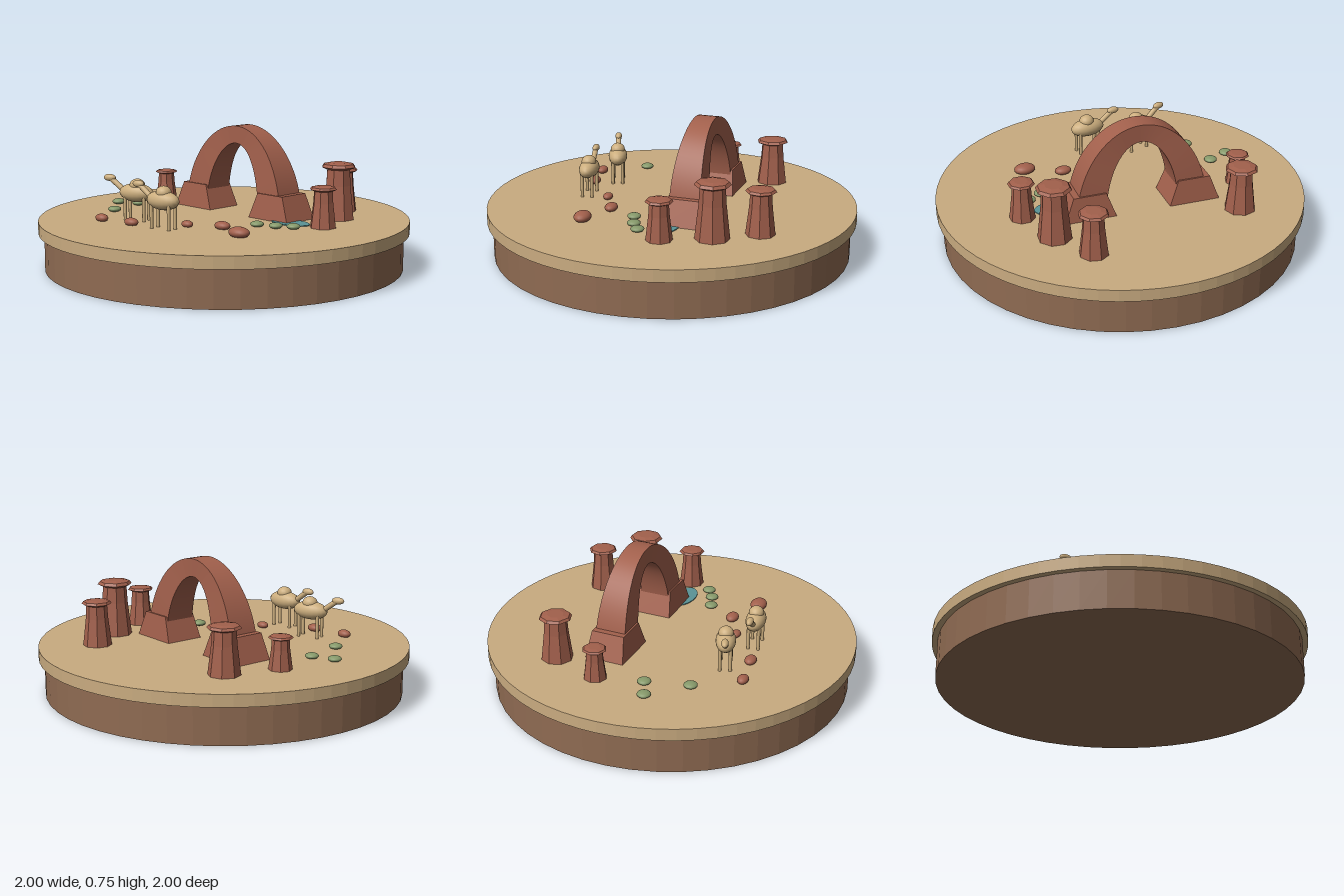
import * as THREE from 'three';

export function createModel() {
  const model = new THREE.Group();
  const mat = (name, color) => {
    const m = new THREE.MeshStandardMaterial({ color });
    m.name = name;
    return m;
  };
  const sand = mat('sand', 0xc9ab80);
  const earth = mat('earth', 0x8f6b52);
  const rock = mat('red rock', 0xa2604c);
  const water = mat('water', 0x5a9497);
  const leaf = mat('shrub green', 0x86996a);
  const fur = mat('camel tan', 0xccae7e);
  const GROUND = 0.265;

  const add = (parent, name, geo, material, x = 0, y = 0, z = 0) => {
    const mesh = new THREE.Mesh(geo, material);
    mesh.name = name;
    mesh.position.set(x, y, z);
    parent.add(mesh);
    return mesh;
  };
  const flat = (geo) => {
    const g = geo.toNonIndexed();
    g.computeVertexNormals();
    return g;
  };
  const ellipsoid = (rx, ry, rz) => new THREE.SphereGeometry(1, 20, 12).scale(rx, ry, rz);
  const reshape = (geo, rule) => {
    const p = geo.attributes.position;
    for (let i = 0; i < p.count; i++) p.setXYZ(i, ...rule(p.getX(i), p.getY(i), p.getZ(i)));
    geo.computeVertexNormals();
    return geo;
  };

  // Round plinth with a sand slab on top
  add(model, 'earthBase', flat(new THREE.CylinderGeometry(0.97, 0.97, 0.2, 48)), earth, 0, 0.1, 0);
  add(model, 'sandTop', flat(new THREE.CylinderGeometry(1, 1, 0.065, 64)), sand, 0, 0.2325, 0);

  // Natural arch: a box bent between an inner and an outer ellipse, slimmer at the crown
  const arch = new THREE.Group();
  arch.name = 'rockArch';
  arch.position.set(0.03, GROUND, -0.18);
  arch.rotation.y = -THREE.MathUtils.degToRad(20);
  model.add(arch);
  const span = reshape(new THREE.BoxGeometry(1, 1, 1, 40, 1, 1), (x, y, z) => {
    const a = Math.PI * (0.5 - x);
    const c = Math.cos(a);
    const t = y + 0.5;
    return [
      c * THREE.MathUtils.lerp(0.2, 0.36, t),
      Math.sin(a) * THREE.MathUtils.lerp(0.385, 0.48, t),
      z * 2 * (0.056 + 0.03 * c * c),
    ];
  });
  add(arch, 'archSpan', span, rock);

  // Tapered blocks under both ends of the arch
  for (const side of [-1, 1]) {
    const foot = reshape(new THREE.BoxGeometry(0.28, 0.135, 0.216), (x, y, z) =>
      y > 0 ? [x * 0.64, y, z * 0.85] : [x, y, z]);
    add(arch, 'archFoot', foot, rock, side * 0.29, 0.0675, 0);
  }

  // Pool beside the arch
  const pool = add(model, 'pool', new THREE.CylinderGeometry(1, 1, 0.005, 40).scale(0.12, 1, 0.07),
    water, 0.405, GROUND + 0.0025, 0.035);
  pool.rotation.y = -0.35;

  // Eight-sided pillars with flared caps: x, z, cap radius, height
  const profile = [[0, 0], [0.96, 0], [0.85, 0.3], [0.74, 0.6], [0.69, 0.88],
    [1, 0.925], [0.88, 0.975], [0.5, 1], [0, 1]];
  const pillars = [
    [-0.35, -0.575, 0.088, 0.255], [-0.54, -0.35, 0.064, 0.175], [0.525, -0.44, 0.08, 0.245],
    [0.585, -0.195, 0.094, 0.305], [0.6, 0.07, 0.072, 0.217],
  ];
  pillars.forEach(([x, z, r, h], i) => {
    const points = profile.map(([pr, py]) => new THREE.Vector2(pr * r, py * h));
    const pillar = add(model, 'rockPillar', flat(new THREE.LatheGeometry(points, 8)), rock, x, GROUND, z);
    pillar.rotation.y = Math.PI / 8 + i * 0.12;
  });

  // Loose boulders: x, z, length, height, width
  const boulders = [
    [-0.53, 0.4, 0.04, 0.022, 0.029], [-0.33, 0.435, 0.043, 0.022, 0.031],
    [-0.045, 0.35, 0.035, 0.019, 0.026], [0.145, 0.325, 0.047, 0.023, 0.034],
    [0.305, 0.468, 0.06, 0.029, 0.045],
  ];
  for (const [x, z, rx, ry, rz] of boulders) {
    add(model, 'boulder', ellipsoid(rx, ry, rz), rock, x, GROUND + ry * 0.7, z).rotation.y = -0.3;
  }

  // Low round shrubs
  const shrubs = [[-0.71, -0.085], [-0.585, -0.095], [-0.605, 0.14],
    [0.285, 0.2], [0.39, 0.2], [0.48, 0.18]];
  for (const [x, z] of shrubs) {
    add(model, 'shrub', ellipsoid(0.036, 0.016, 0.036), leaf, x, GROUND + 0.015, z);
  }

  // Camels, heading toward local -x
  const addCamel = (x, z, turn) => {
    const camel = new THREE.Group();
    camel.name = 'camel';
    camel.position.set(x, GROUND, z);
    camel.rotation.y = turn;
    model.add(camel);
    add(camel, 'body', ellipsoid(0.1, 0.05, 0.053), fur, 0, 0.148, 0);
    add(camel, 'hump', ellipsoid(0.042, 0.036, 0.04), fur, 0.005, 0.188, 0);
    const neckPath = new THREE.LineCurve3(
      new THREE.Vector3(-0.075, 0.155, 0), new THREE.Vector3(-0.155, 0.215, 0));
    add(camel, 'neck', new THREE.TubeGeometry(neckPath, 1, 0.015, 10), fur);
    add(camel, 'head', ellipsoid(0.036, 0.019, 0.019), fur, -0.164, 0.219, 0);
    for (const lx of [-0.055, 0.058]) {
      for (const lz of [-0.027, 0.027]) {
        add(camel, 'leg', new THREE.CylinderGeometry(0.01, 0.009, 0.135, 10), fur, lx, 0.0675, lz);
      }
    }
  };
  addCamel(-0.37, 0.305, 0);
  addCamel(-0.13, 0.455, -0.19);

  return model;
}
